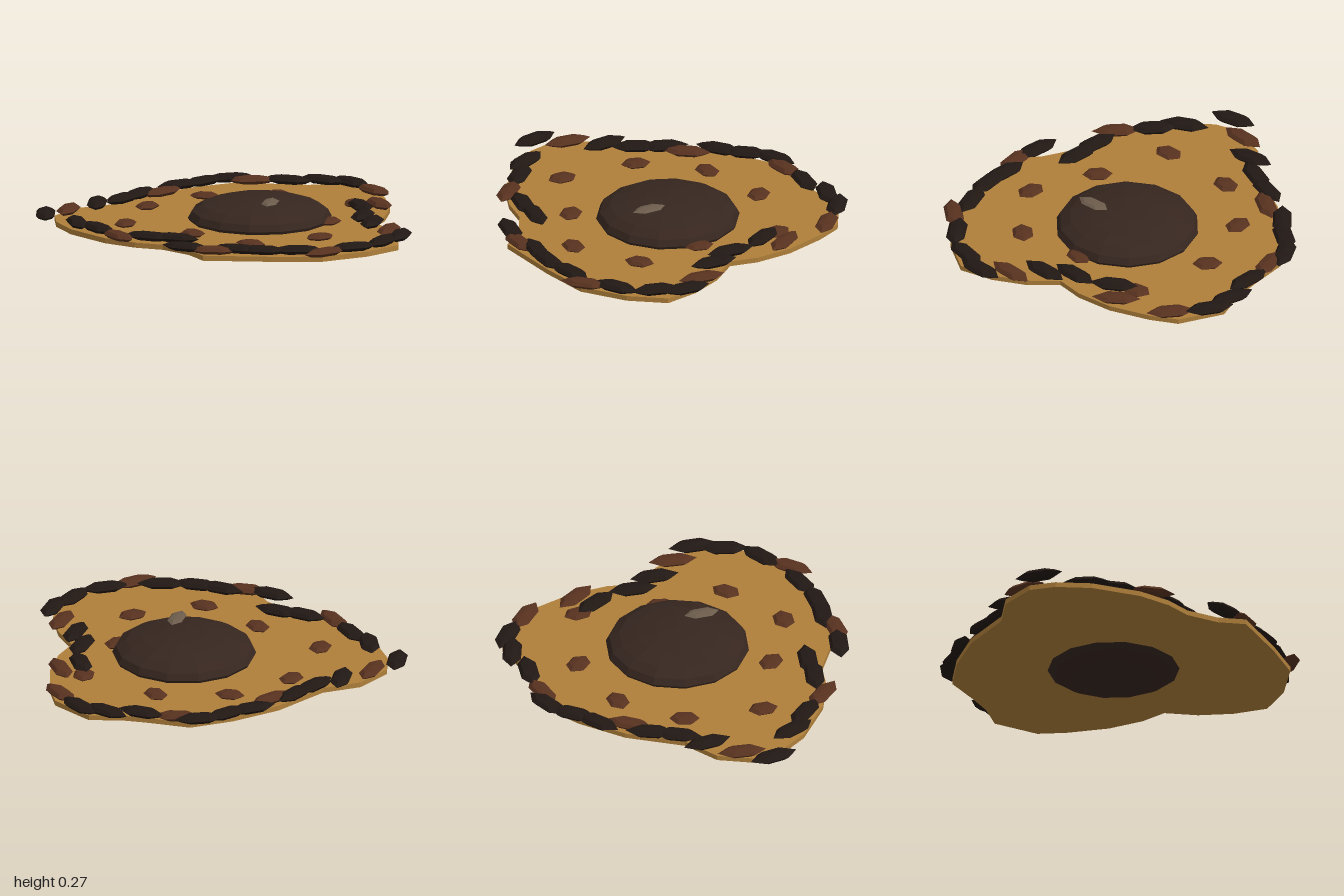
import * as THREE from 'three';

const mat = (color) => new THREE.MeshStandardMaterial({ color, flatShading: true });
const TAN = mat(0xaf7f3a), CORE = mat(0x36261f), DARK = mat(0x211814);
const BROWN = mat(0x57311f), GLINT = mat(0x6b5b4b);

// plate outline as x, z pairs
const OUTLINE = [
  [-0.9, -0.8], [-0.8, -0.92], [-0.57, -0.97], [-0.35, -0.9], [0, -0.94], [0.3, -0.9],
  [0.55, -0.82], [0.7, -0.62], [0.8, -0.5], [0.95, -0.38], [0.98, -0.1], [0.9, 0.05],
  [0.75, 0.25], [0.58, 0.39], [0.43, 0.46], [0.38, 0.65], [0.28, 0.83], [0.14, 0.98],
  [-0.1, 0.98], [-0.38, 0.9], [-0.6, 0.7], [-0.87, 0.41], [-0.83, 0.25], [-0.85, 0.05],
  [-0.93, -0.1], [-0.98, -0.3], [-0.97, -0.6],
];

// rim scales: x, z, turn in degrees
const DARK_RIM = [
  [-0.89, -0.9, 45], [-0.485, -0.9, 42], [-0.3, -0.885, 10], [-0.14, -0.91, 15],
  [0.18, -0.92, -15], [0.34, -0.89, -2], [0.51, -0.85, -28], [0.72, -0.58, -60],
  [0.87, -0.44, -73], [0.95, -0.29, 90], [0.58, 0.18, 65], [0.42, 0.375, 32],
  [0.345, 0.535, 33], [0.235, 0.89, 33], [0.06, 0.93, 20], [-0.17, 0.925, -22],
  [-0.46, 0.765, -38], [-0.61, 0.63, -52], [-0.69, 0.51, -62], [-0.875, 0.27, -65],
  [-0.76, 0.06, -63], [-0.845, -0.07, -65], [-0.915, -0.43, 80], [-0.905, -0.615, 60],
];
const BROWN_RIM = [
  [-0.7, -0.91, 30], [0, -0.87, 0], [0.58, -0.74, -42], [0.92, -0.07, 84], [0.71, 0.2, 70],
  [0.3, 0.725, 30], [-0.36, 0.895, -8], [-0.8, 0.42, -50], [-0.95, -0.22, 80],
];
// small spots around the core
const SPOTS = [
  [-0.275, -0.7, 20], [0.145, -0.665, -50], [0.48, -0.4, 80], [0.645, 0.065, 45],
  [0.225, 0.3, 20], [-0.085, 0.555, -10], [-0.49, 0.405, -60], [-0.56, -0.01, 80],
  [-0.67, -0.46, 35],
];

const pebbleGeometry = new THREE.SphereGeometry(1, 6, 4);

// flattened six-sided pebble
function pebble(name, [x, z, degrees], y, size, material) {
  const mesh = new THREE.Mesh(pebbleGeometry, material);
  mesh.name = name;
  mesh.position.set(x, y, z);
  mesh.rotation.y = THREE.MathUtils.degToRad(degrees);
  mesh.scale.set(...size);
  return mesh;
}

function pebbleGroup(name, itemName, list, y, size, material) {
  const group = new THREE.Group();
  group.name = name;
  list.forEach((p) => group.add(pebble(itemName, p, y, size, material)));
  return group;
}

export function createModel() {
  const model = new THREE.Group();
  model.name = 'spottedDisc';

  // flat irregular plate
  const shape = new THREE.Shape(OUTLINE.map(([x, z]) => new THREE.Vector2(x, -z)));
  const plateGeometry = new THREE.ExtrudeGeometry(shape, { depth: 0.03, bevelEnabled: false });
  plateGeometry.rotateX(-Math.PI / 2);
  const plate = new THREE.Mesh(plateGeometry, TAN);
  plate.name = 'plate';
  plate.position.y = 0.08;
  model.add(plate);

  // squashed ball through the plate, with a vertex at front and back
  const coreGeometry = new THREE.SphereGeometry(1, 14, 10);
  coreGeometry.rotateY(Math.PI / 2).scale(0.415, 0.125, 0.415);
  const core = new THREE.Mesh(coreGeometry, CORE);
  core.name = 'core';
  core.position.set(0, 0.127, -0.045);
  model.add(core);

  // glint lying on the core
  model.add(pebble('glint', [-0.085, 0.135, 36], 0.254, [0.105, 0.016, 0.05], GLINT));

  // rim and spots
  model.add(pebbleGroup('darkRim', 'darkRimScale', DARK_RIM, 0.14, [0.145, 0.028, 0.062], DARK));
  model.add(pebbleGroup('brownRim', 'brownRimScale', BROWN_RIM, 0.134, [0.142, 0.026, 0.06], BROWN));
  model.add(pebbleGroup('spots', 'spot', SPOTS, 0.122, [0.088, 0.022, 0.066], BROWN));

  return model;
}
